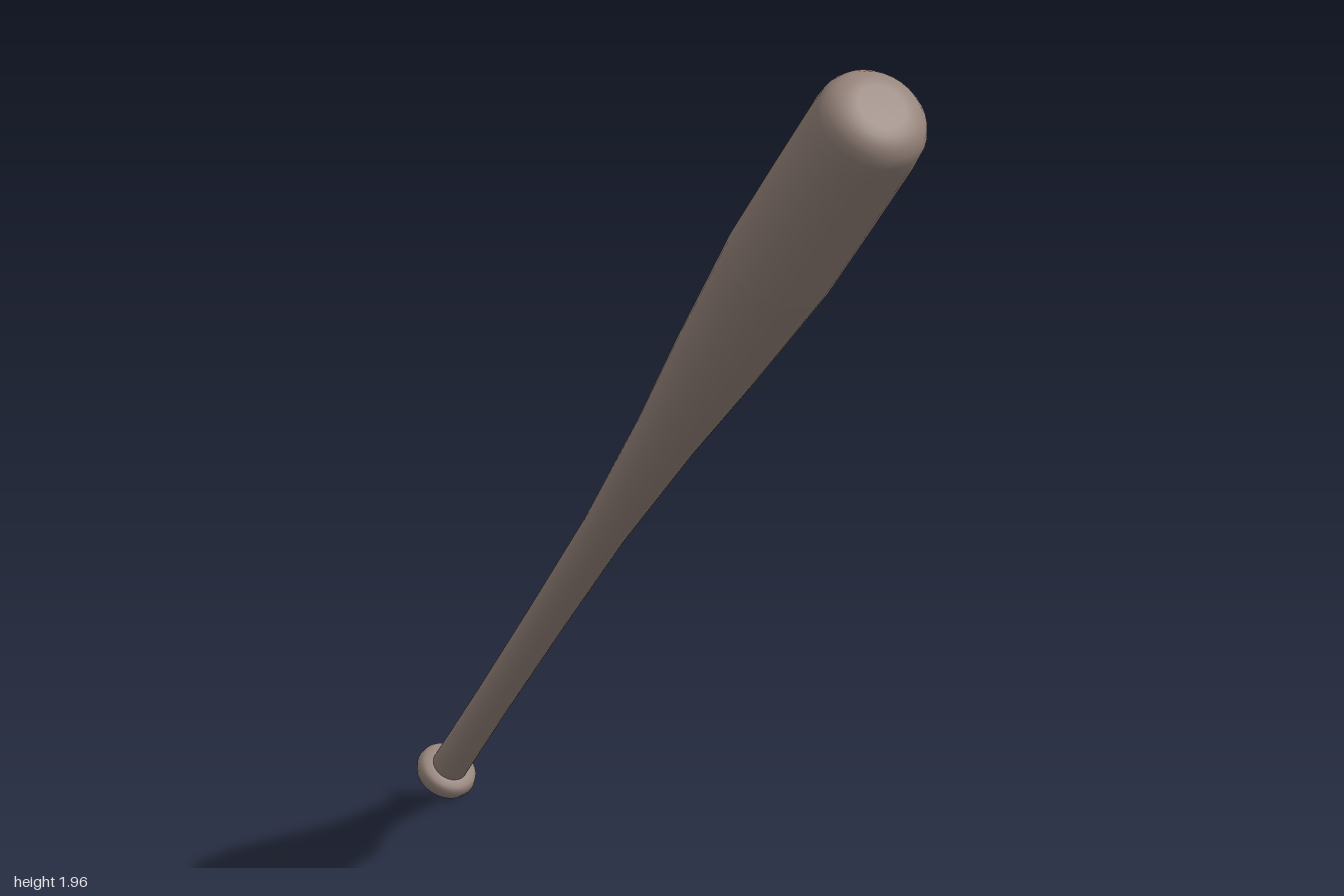
import * as THREE from 'three';

const SIDES = 32;

// Turned piece from [radius, distance along axis] pairs
function turned(name, profile, material) {
  const points = profile.map(([r, s]) => new THREE.Vector2(r, s));
  const mesh = new THREE.Mesh(new THREE.LatheGeometry(points, SIDES), material);
  mesh.name = name;
  return mesh;
}

export function createModel() {
  const wood = new THREE.MeshStandardMaterial({ color: 0x95837a });
  wood.name = 'greyBrownWood';

  const bat = new THREE.Group();
  bat.name = 'bat';

  // Rounded knob at the grip end
  bat.add(turned('knob', [
    [0, -0.034], [0.035, -0.032], [0.056, -0.024], [0.068, -0.011],
    [0.072, 0.003], [0.069, 0.016], [0.06, 0.024], [0.042, 0.028],
  ], wood));

  // Thin handle widening into the barrel
  bat.add(turned('handle', [
    [0.042, 0.02], [0.042, 0.3], [0.046, 0.65], [0.053, 1.02],
    [0.076, 1.42], [0.104, 1.74], [0.134, 2.16],
  ], wood));

  // Barrel with a rounded, nearly flat end
  bat.add(turned('barrel', [
    [0.134, 2.16], [0.138, 2.45], [0.14, 2.70], [0.137, 2.75],
    [0.127, 2.775], [0.110, 2.795], [0.085, 2.808], [0.06, 2.811], [0, 2.812],
  ], wood));

  // Lean the bat diagonally
  const axis = new THREE.Vector3(0.66, 0.649, 0.378).normalize();
  bat.quaternion.setFromUnitVectors(new THREE.Vector3(0, 1, 0), axis);
  bat.position.set(-0.935, 0.07, -0.55);

  const model = new THREE.Group();
  model.name = 'leaningBat';
  model.add(bat);
  return model;
}
